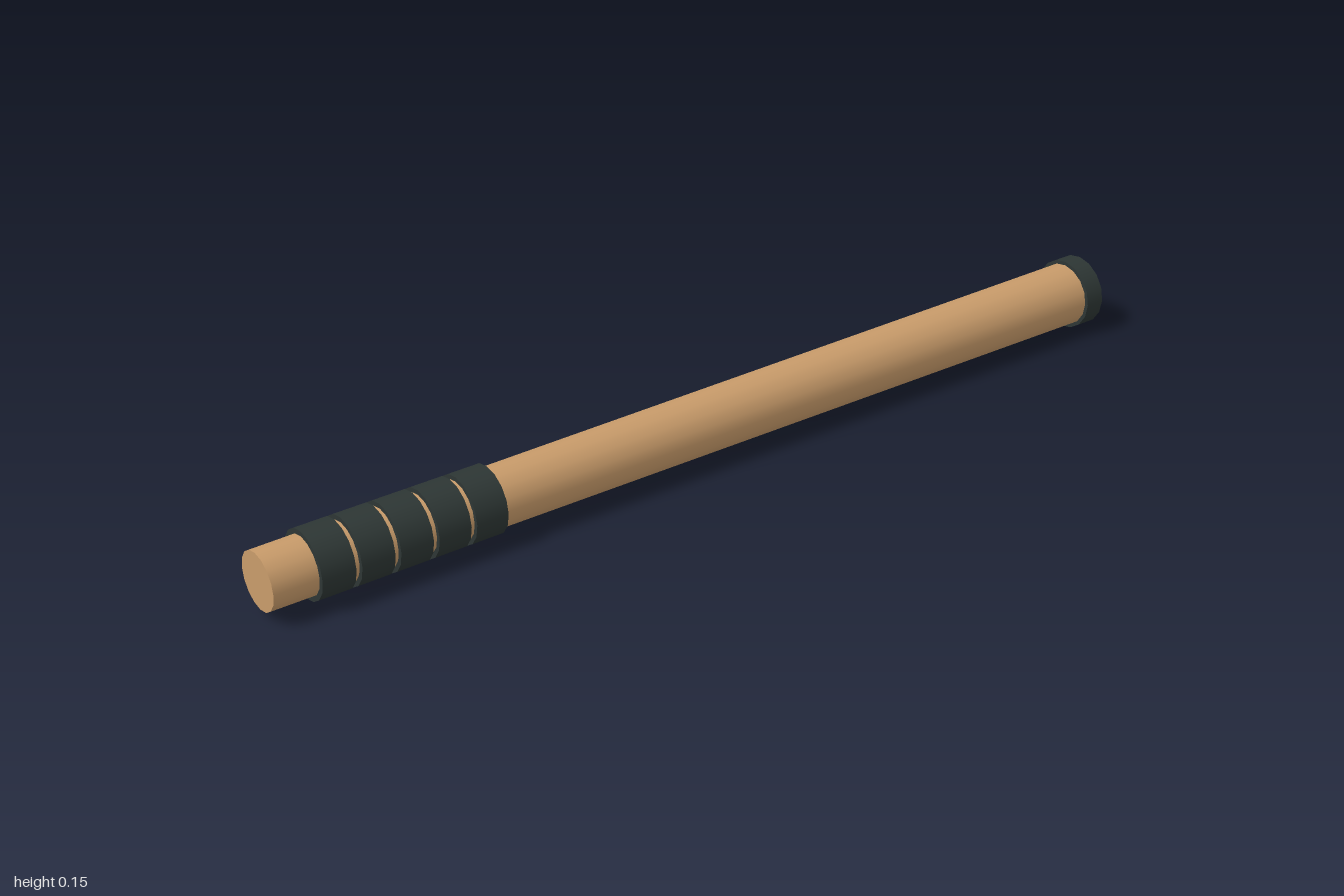
import * as THREE from 'three';

const AXIS_Y = 0.076;

export function createModel() {
  const model = new THREE.Group();
  const wood = new THREE.MeshStandardMaterial({ color: 0xc89b6a });
  wood.name = 'wood';
  const rubber = new THREE.MeshStandardMaterial({ color: 0x2d3634 });
  rubber.name = 'dark rubber';

  // Round section lying along x, from x0 (radius r0) to x1 (radius r1)
  function addRod(name, x0, x1, r0, r1, material) {
    const geometry = new THREE.CylinderGeometry(r1, r0, x1 - x0, 16);
    geometry.rotateZ(-Math.PI / 2);
    const mesh = new THREE.Mesh(geometry, material);
    mesh.name = name;
    mesh.position.set((x0 + x1) / 2, AXIS_Y, 0);
    model.add(mesh);
  }

  // Tapered shaft and the cap on its thick end
  addRod('shaft', -1, 0.975, 0.059, 0.068, wood);
  addRod('endCap', 0.957, 1, 0.076, 0.076, rubber);

  // Five grip wraps near the thin end
  for (let i = 0; i < 5; i++) {
    const x = -0.875 + i * 0.08;
    addRod(`gripBand${i + 1}`, x - 0.034, x + 0.034, 0.07, 0.07, rubber);
  }
  return model;
}
